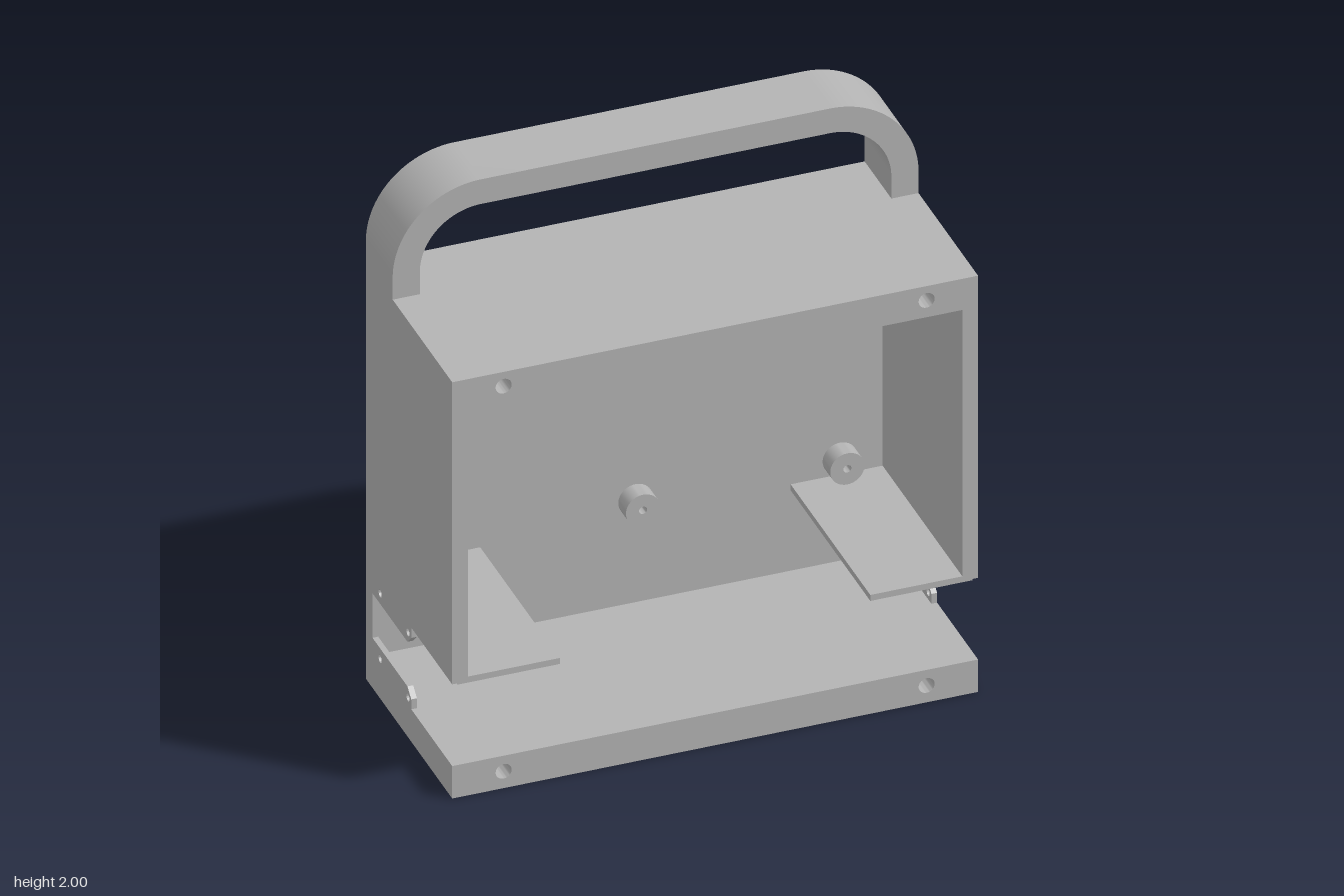
import * as THREE from 'three';
import { toCreasedNormals } from 'three/addons/utils/BufferGeometryUtils.js';

const W = 0.92, D = 0.395, TOP = 1.605; // half width, half depth, top of the case
const SKIN = 0.9, INNER = 0.865, BACK = -0.335; // side skin, inner wall, inside of back wall

const plastic = new THREE.MeshStandardMaterial({ color: 0xb3b3b3 });
plastic.name = 'greyPlastic';

function polygon(points) {
  return new THREE.Shape(points.map(([x, y]) => new THREE.Vector2(x, y)));
}

function rect(x0, x1, y0, y1) {
  return polygon([[x0, y0], [x1, y0], [x1, y1], [x0, y1]]);
}

function drill(shape, x, y, r) {
  shape.holes.push(new THREE.Path().absarc(x, y, r, 0, Math.PI * 2, true));
}

function extrude(shape, depth) {
  const geo = new THREE.ExtrudeGeometry(shape, { depth, bevelEnabled: false, curveSegments: 20 });
  return toCreasedNormals(geo, 0.5);
}

export function createModel() {
  const model = new THREE.Group();
  model.name = 'carryCase';

  function add(name, geometry) {
    const mesh = new THREE.Mesh(geometry, plastic);
    mesh.name = name;
    model.add(mesh);
  }
  function block(name, x0, x1, y0, y1, z0, z1) {
    const geo = new THREE.BoxGeometry(x1 - x0, y1 - y0, z1 - z0);
    add(name, geo.translate((x0 + x1) / 2, (y0 + y1) / 2, (z0 + z1) / 2));
  }

  // Back wall with the large window and the small slot
  const back = rect(-W, W, 0, TOP);
  back.holes.push(rect(0.37, 0.715, 1.27, 1.475), rect(-0.095, 0.09, 1.42, 1.485));
  add('backWall', extrude(back, BACK + D).translate(0, 0, -D));

  // Outer side skins: upper panel with a tab, and lower panel with a tab
  const upper = polygon([[BACK, TOP], [BACK, 0.365], [-0.015, 0.365], [0.02, 0.4],
    [0.02, 0.44], [D, 0.44], [D, TOP]]);
  const lower = polygon([[BACK, 0], [D, 0], [D, 0.125], [0.02, 0.125],
    [0.02, 0.163], [-0.015, 0.193], [BACK, 0.193]]);
  for (const z of [-0.01, -0.265]) {
    drill(upper, z, 0.405, 0.014);
    drill(lower, z, 0.153, 0.014);
  }
  for (const [side, x] of [['left', W], ['right', -SKIN]]) {
    add(side + 'UpperSide', extrude(upper, W - SKIN).rotateY(-Math.PI / 2).translate(x, 0, 0));
    add(side + 'LowerSide', extrude(lower, W - SKIN).rotateY(-Math.PI / 2).translate(x, 0, 0));
  }

  // Inner side walls and the shelves standing in from them
  for (const [side, s] of [['left', 1], ['right', -1]]) {
    const span = (a, b) => (s > 0 ? [a, b] : [-b, -a]);
    block(side + 'InnerWall', ...span(INNER, SKIN), 0.435, 1.485, BACK, D);
    block(side + 'Shelf', ...span(0.543, INNER), 0.435, 0.458, BACK, D);
  }

  // Top and bottom slabs, each with a front rail holding two blind screw holes
  const railZ = 0.3;
  for (const [name, y0, y1, holeY] of [['top', 1.485, TOP, 1.55], ['bottom', 0, 0.125, 0.065]]) {
    const rail = rect(-SKIN, SKIN, y0, y1);
    for (const x of [-0.74, 0.74]) drill(rail, x, holeY, 0.028);
    add(name + 'FrontRail', extrude(rail, D - railZ).translate(0, 0, railZ));
  }
  block('topSlab', -SKIN, SKIN, 1.485, TOP, BACK, railZ);
  block('floor', -SKIN, SKIN, 0.07, 0.125, BACK, railZ);

  // Underside plate with four blind mounting holes
  const base = rect(-SKIN, SKIN, -railZ, -BACK);
  for (const x of [-0.64, 0.64]) for (const z of [-0.185, 0.185]) drill(base, x, z, 0.025);
  add('basePlate', extrude(base, 0.07).rotateX(-Math.PI / 2));

  // Screw bosses on the inside of the back wall
  for (const x of [0, 0.715]) for (const y of [0.52, 1.125]) {
    const ring = new THREE.Shape().absarc(0, 0, 0.06, 0, Math.PI * 2, false);
    drill(ring, 0, 0, 0.014);
    add('screwBoss', extrude(ring, 0.07).translate(x, y, BACK));
  }

  // Rounded carrying handle, flush with the back
  const cx = 0.61, cy = 1.69, ro = 0.31, ri = 0.215;
  const handle = new THREE.Shape();
  handle.moveTo(W, TOP);
  handle.lineTo(cx + ro, cy);
  handle.absarc(cx, cy, ro, 0, Math.PI / 2, false);
  handle.absarc(-cx, cy, ro, Math.PI / 2, Math.PI, false);
  handle.lineTo(-W, TOP);
  handle.lineTo(-cx - ri, TOP);
  handle.absarc(-cx, cy, ri, Math.PI, Math.PI / 2, true);
  handle.absarc(cx, cy, ri, Math.PI / 2, 0, true);
  handle.lineTo(cx + ri, TOP);
  add('handle', extrude(handle, 0.245).translate(0, 0, -D));

  return model;
}
